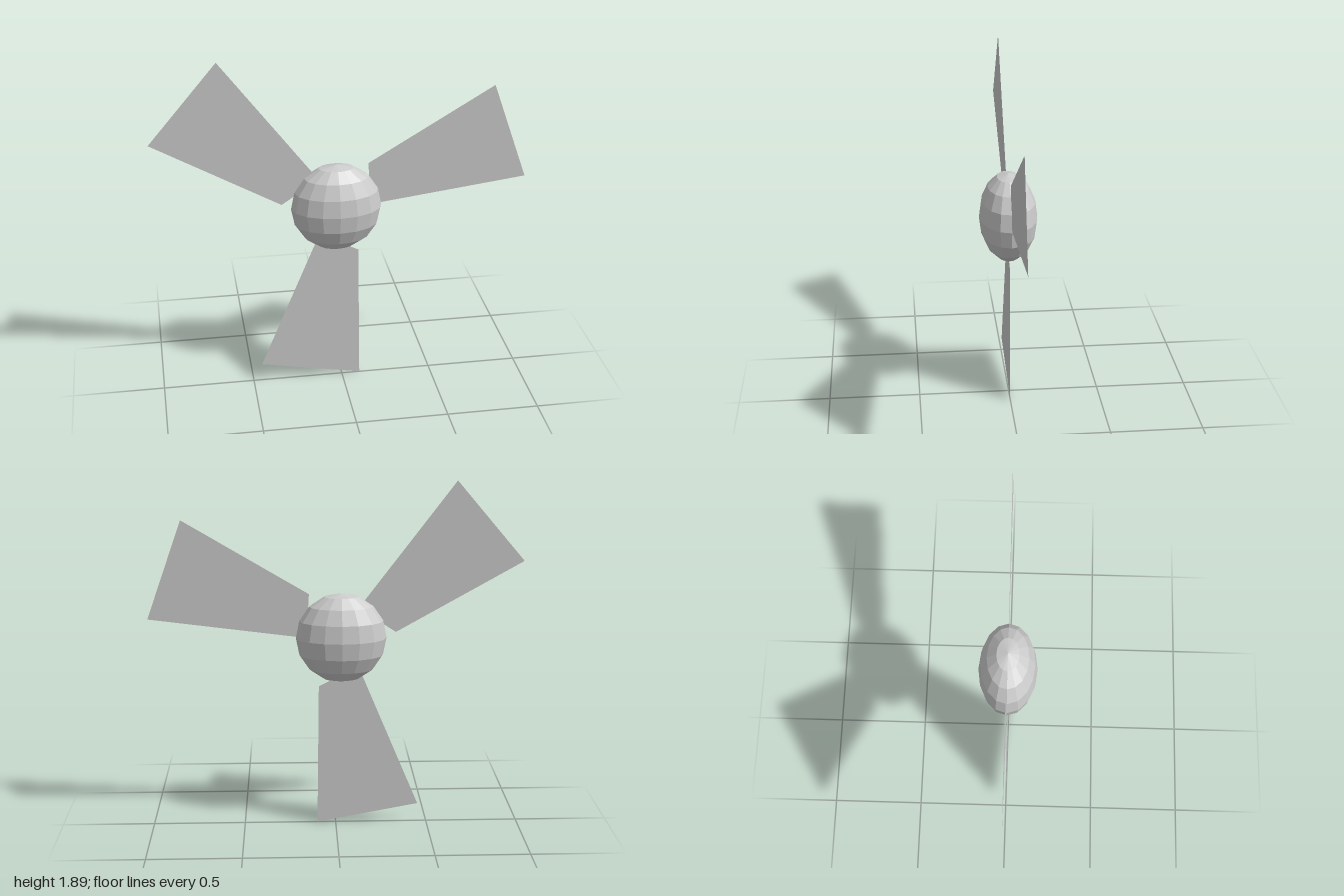
import * as THREE from 'three';

export function createModel() {
  const rotor = new THREE.Group();
  rotor.name = 'rotor';
  rotor.position.set(-0.03, 1.05, 0);

  // Faceted hub, flattened front to back
  const hub = new THREE.Mesh(
    new THREE.SphereGeometry(0.243, 16, 8).scale(1, 1, 0.645),
    new THREE.MeshStandardMaterial({ color: 0xcccccc, flatShading: true })
  );
  hub.name = 'hub';
  rotor.add(hub);

  // Three paper-thin tapered blades, rooted inside the hub
  const outline = [[0.186, 0], [1.03, 0.108], [0.842, 0.637], [0.172, 0.239]];
  const bladeGeometry = new THREE.ShapeGeometry(
    new THREE.Shape(outline.map(([x, y]) => new THREE.Vector2(x, y)))
  );
  const bladeMaterial = new THREE.MeshStandardMaterial({ color: 0xcccccc, side: THREE.DoubleSide });
  for (let i = 0; i < 3; i++) {
    const blade = new THREE.Mesh(bladeGeometry, bladeMaterial);
    blade.name = `blade${i + 1}`;
    blade.rotation.z = (i * Math.PI * 2) / 3;
    rotor.add(blade);
  }

  const model = new THREE.Group();
  model.name = 'propeller';
  model.add(rotor);
  return model;
}
